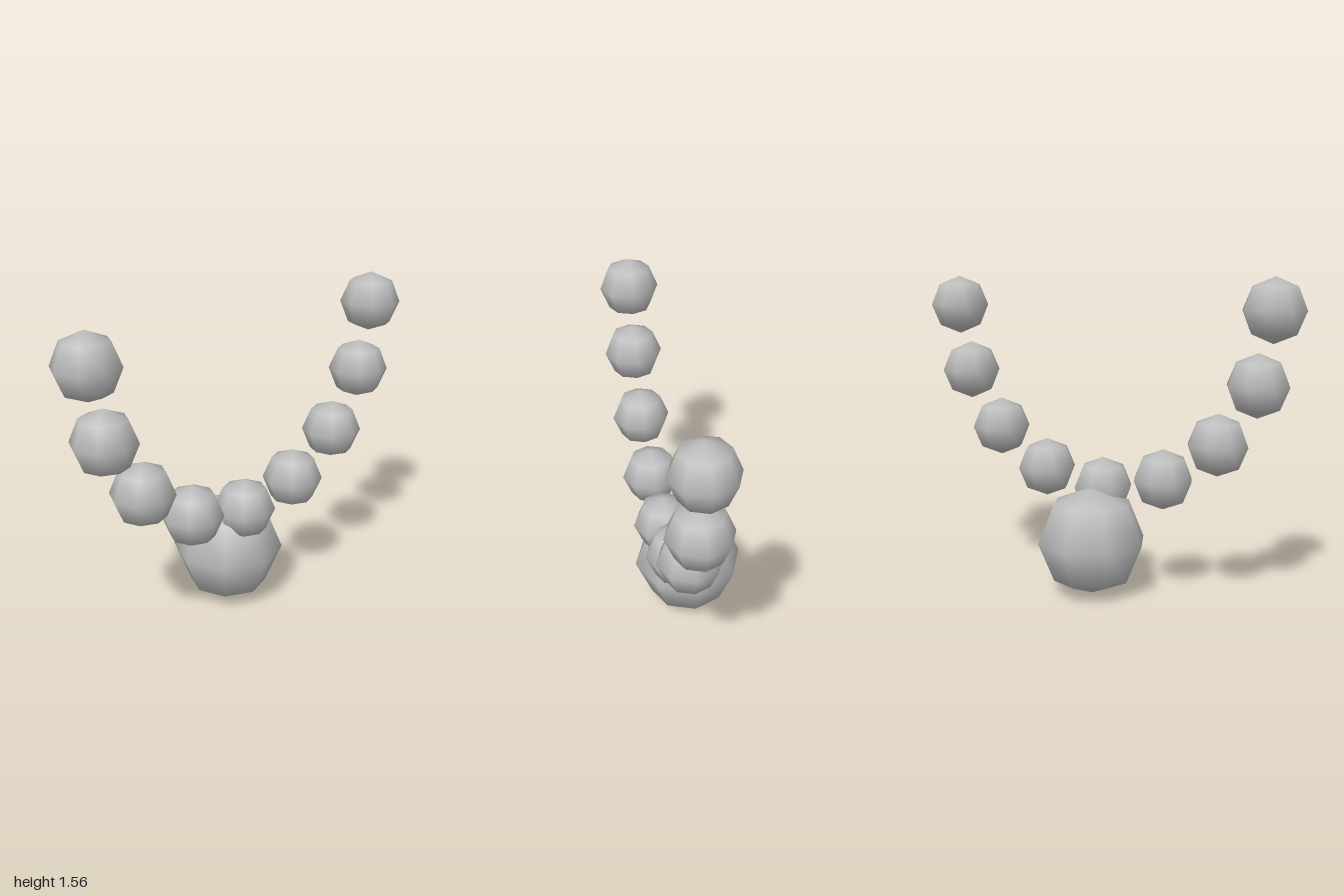
import * as THREE from 'three';

export function createModel() {
  const model = new THREE.Group();
  const stone = new THREE.MeshStandardMaterial({ color: 0xbcbcbc });
  stone.name = 'grey stone';

  // Low-poly ball with smooth normals
  function ball(name, radius, x, y, z) {
    const mesh = new THREE.Mesh(new THREE.SphereGeometry(radius, 8, 4), stone);
    mesh.name = name;
    mesh.position.set(x, y, z);
    model.add(mesh);
  }

  // Large hanging ball at the bottom
  ball('pendant', 0.272, 0, 0.273, 0);

  // Small beads along a half ellipse, 22.5 degrees apart
  for (let i = -4; i <= 4; i++) {
    const a = (i * Math.PI) / 8;
    const name = i === 0 ? 'centreBead' : (i < 0 ? 'rightBead' : 'leftBead') + Math.abs(i);
    ball(name, 0.149, 0.851 * Math.sin(a), 1.41 - 0.888 * Math.cos(a), 0.122);
  }
  return model;
}
